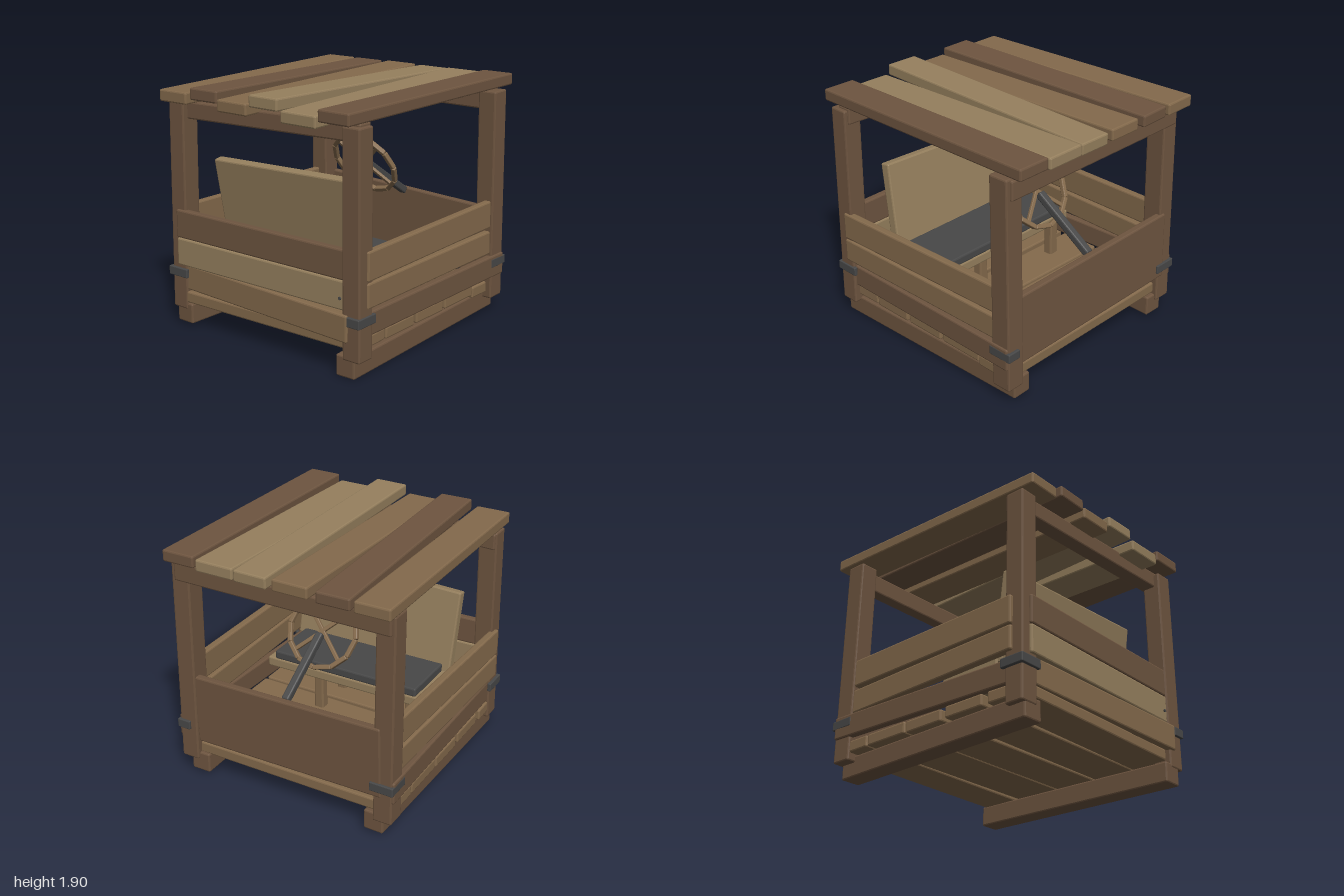
import * as THREE from 'three';
import { RoundedBoxGeometry } from 'three/addons/geometries/RoundedBoxGeometry.js';

const paint = (color) => new THREE.MeshStandardMaterial({ color, flatShading: true });

export function createModel() {
  const model = new THREE.Group();
  const dark = paint(0x6e5540), mid = paint(0x846a4c), light = paint(0x96805e), iron = paint(0x484848);

  // Chamfered timber running from point a to b; c holds the two cross-section sizes in axis order
  function beam(name, a, b, c, mat, parent = model) {
    const p = new THREE.Vector3(...a), q = new THREE.Vector3(...b);
    const dir = q.clone().sub(p), len = dir.length();
    const abs = dir.toArray().map(Math.abs);
    const k = abs.indexOf(Math.max(...abs));
    const size = [...c];
    size.splice(k, 0, len);
    const axis = new THREE.Vector3().setComponent(k, Math.sign(dir.getComponent(k)));
    const geo = new RoundedBoxGeometry(...size, 1, Math.min(0.012, Math.min(...size) * 0.2));
    const mesh = new THREE.Mesh(geo, mat);
    mesh.name = name;
    mesh.quaternion.setFromUnitVectors(axis, dir.normalize());
    mesh.position.copy(p.add(q).multiplyScalar(0.5));
    parent.add(mesh);
    return mesh;
  }

  // Skids
  beam('leftSkid', [0.79, 0.08, 0.91], [0.76, 0.105, -0.9], [0.16, 0.16], dark);
  beam('rightSkid', [-0.795, 0.1, 0.91], [-0.76, 0.1, -0.9], [0.16, 0.16], dark);

  // Floor planks: right-end z, left-end z, width, right-end y, left-end y
  [
    [0.76, 0.71, 0.31, 0.23, 0.235],
    [0.38, 0.375, 0.34, 0.235, 0.235],
    [0.0, 0.005, 0.34, 0.23, 0.24],
    [-0.38, -0.38, 0.38, 0.235, 0.245],
    [-0.73, -0.72, 0.3, 0.235, 0.22],
  ].forEach(([zr, zl, w, yr, yl]) =>
    beam('floorPlank', [-0.9, yr, zr], [0.87, yl, zl], [0.09, w], mid));

  // Corner posts
  beam('frontLeftPost', [0.845, 0.13, 0.84], [0.835, 1.77, 0.835], [0.15, 0.15], dark);
  beam('frontRightPost', [-0.835, 0.13, 0.84], [-0.815, 1.75, 0.835], [0.15, 0.15], dark);
  beam('backLeftPost', [0.84, 0.13, -0.84], [0.84, 1.785, -0.81], [0.15, 0.16], dark);
  beam('backRightPost', [-0.84, 0.13, -0.84], [-0.83, 1.77, -0.81], [0.15, 0.16], dark);

  // Beams carrying the roof
  beam('frontRoofBeam', [-0.88, 1.68, 0.805], [0.88, 1.725, 0.805], [0.13, 0.12], dark);
  beam('backRoofBeam', [-0.88, 1.7, -0.86], [0.88, 1.7, -0.86], [0.15, 0.1], dark);

  // Roof planks: front x, back x, width, front y, back y, colour
  [
    [-0.75, -0.785, 0.27, 1.8, 1.83, mid],
    [-0.435, -0.49, 0.26, 1.845, 1.83, dark],
    [-0.16, -0.155, 0.28, 1.79, 1.835, mid],
    [0.14, 0.165, 0.265, 1.86, 1.83, light],
    [0.455, 0.46, 0.31, 1.785, 1.835, light],
    [0.76, 0.765, 0.265, 1.835, 1.85, dark],
  ].forEach(([xf, xb, w, yf, yb, mat]) =>
    beam('roofPlank', [xf, yf, 1], [xb, yb, -1], [w, 0.09], mat));

  // Front wall planks, each lapping over one post and tucked behind the other
  beam('frontWallPlank', [-0.83, 0.815, 0.905], [0.8, 0.81, 0.87], [0.22, 0.06], dark);
  beam('frontWallPlank', [-0.83, 0.595, 0.905], [0.8, 0.59, 0.87], [0.215, 0.06], light);
  beam('frontWallPlank', [-0.8, 0.39, 0.87], [0.82, 0.365, 0.905], [0.2, 0.06], mid);

  // Side wall planks, left then right
  for (const s of [1, -1]) {
    beam('sideWallPlank', [s * 0.9, 0.81, 0.83], [s * 0.865, 0.82, -0.8], [0.06, 0.215], mid);
    beam('sideWallPlank', [s * 0.9, 0.6, 0.83], [s * 0.865, 0.59, -0.8], [0.06, 0.185], mid);
    beam('sideWallPlank', [s * 0.865, 0.375, 0.8], [s * 0.9, 0.4, -0.91], [0.06, 0.175], dark);
  }

  // Back panel
  beam('backPanel', [-0.82, 0.62, -0.89], [0.78, 0.565, -0.86], [0.56, 0.06], dark);

  // Iron corner brackets
  for (const sx of [1, -1]) for (const sz of [1, -1]) {
    const bracket = new THREE.Group();
    bracket.name = 'cornerBracket';
    const x0 = sx > 0 ? 0.82 : -0.74;
    beam('bracketFace', [x0, 0.425, sz * 0.92], [sx * 0.925, 0.425, sz * 0.92], [0.07, 0.03], iron, bracket);
    beam('bracketSide', [sx * 0.915, 0.425, sz * 0.74], [sx * 0.915, 0.425, sz * 0.935], [0.03, 0.07], iron, bracket);
    model.add(bracket);
  }

  // Nail head
  const nail = new THREE.Mesh(new THREE.CylinderGeometry(0.012, 0.012, 0.02, 8), iron);
  nail.name = 'nail';
  nail.rotation.x = Math.PI / 2;
  nail.position.set(0.74, 0.57, 0.9);
  model.add(nail);

  // Bench with cushion, legs and leaning backrest
  beam('benchPlank', [-0.7, 0.6, 0.24], [0.7, 0.59, 0.24], [0.08, 0.52], light);
  beam('seatCushion', [-0.63, 0.675, 0.215], [0.63, 0.665, 0.215], [0.07, 0.47], iron);
  for (const x of [-0.57, 0.24]) for (const z of [0.04, 0.4])
    beam('benchLeg', [x, 0.26, z], [x, 0.57, z], [0.08, 0.075], mid);
  const backrest = new THREE.Mesh(new RoundedBoxGeometry(1.39, 0.7, 0.08, 1, 0.012), light);
  backrest.name = 'backrest';
  backrest.position.set(0, 0.96, 0.55);
  backrest.rotation.set(0.16, 0, 0.03);
  model.add(backrest);

  // Steering column and segmented wooden wheel
  beam('steeringColumn', [0, 1.17, -0.35], [0, 0.85, -0.84], [0.06, 0.06], iron);
  const wheel = new THREE.Group();
  wheel.name = 'steeringWheel';
  const R = 0.28, N = 12;
  const rim = (i) => {
    const t = (i / N) * Math.PI * 2;
    return [R * Math.sin(t), R * Math.cos(t), 0];
  };
  for (let i = 0; i < N; i++) beam('rimSegment', rim(i), rim(i + 1), [0.035, 0.04], mid, wheel);
  for (const i of [1.5, 4.5])
    beam('wheelSpoke', rim(i), rim(i + 6), [0.03, 0.025], mid, wheel);
  wheel.position.set(0, 1.18, -0.315);
  wheel.rotation.x = 0.53;
  model.add(wheel);

  return model;
}
